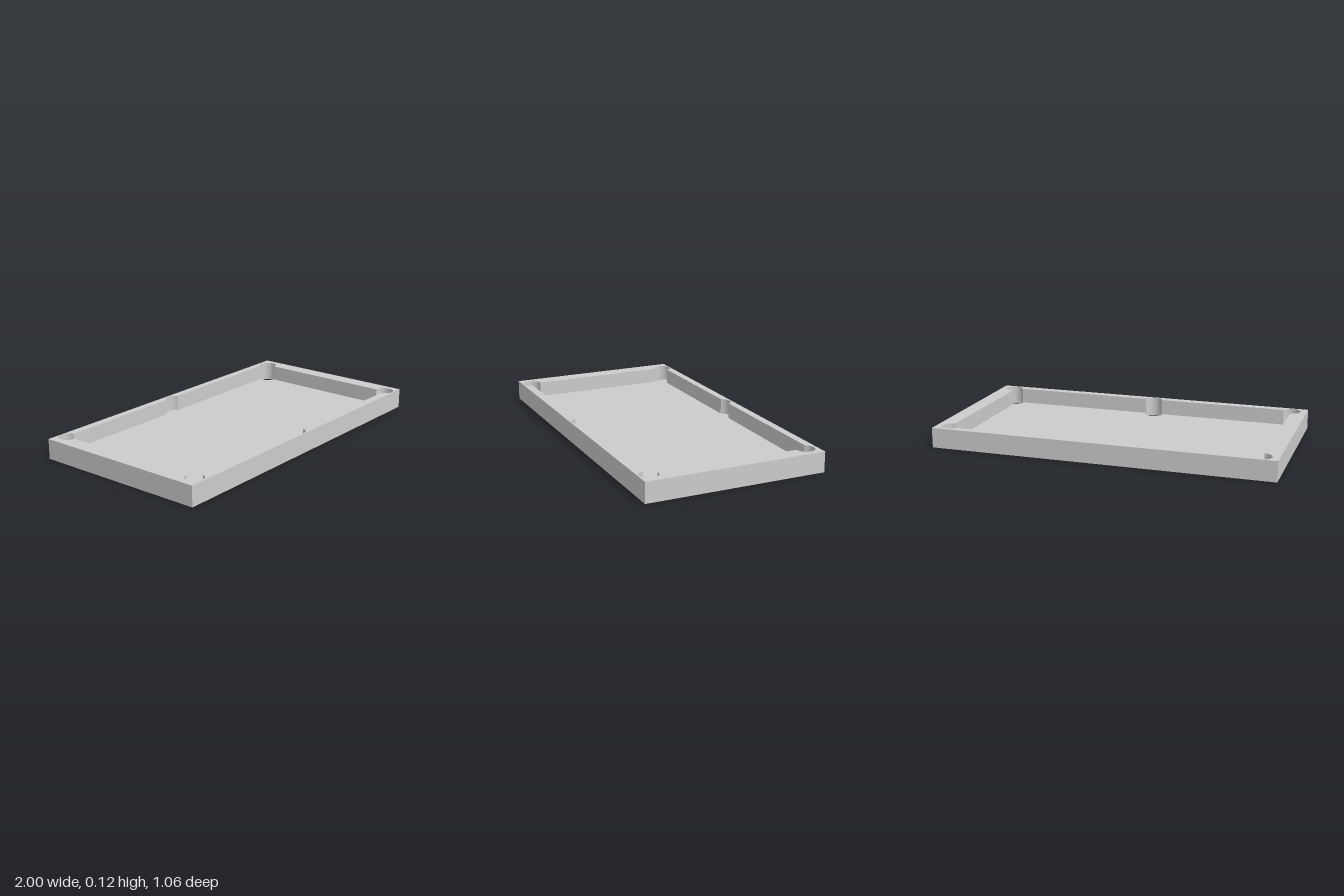
import * as THREE from 'three';
import { toCreasedNormals } from 'three/addons/utils/BufferGeometryUtils.js';

const HEIGHT = 0.117, FLOOR = 0.025, R = 0.053;
const v = (x, z) => new THREE.Vector2(x, -z); // plan coordinates, z towards the front

// Slightly skewed outline; it starts and ends at edge midpoints so that
// the triangulation never begins at an extreme corner
const outline = [
  v(0.0025, 0.5225), v(1, 0.515), v(0.993, -0.53), v(-1, -0.516), v(-0.995, 0.53), v(-0.4963, 0.5263),
];

// Screw holes: anchor on the inner wall line, hole centre, and whether it pierces the floor
const stops = [
  { anchor: v(-0.903, 0.48), center: v(-0.905, 0.466), through: true },
  { anchor: v(-0.035, 0.472), center: v(-0.035, 0.462), through: true },
  { anchor: v(0.903, 0.464), center: v(0.914, 0.456), through: true },
  { anchor: v(0.907, -0.485), center: v(0.908, -0.46), through: true },
  { anchor: v(-0.035, -0.479), center: v(-0.035, -0.459), through: false },
  { anchor: v(-0.908, -0.472), center: v(-0.906, -0.46), through: true, cut: 2.06 },
];

// Angle at which the wall line from a stop towards another leaves the hole
function crossing(stop, target) {
  const d = target.anchor.clone().sub(stop.anchor).normalize();
  const m = stop.anchor.clone().sub(stop.center);
  const b = m.dot(d);
  const t = -b + Math.sqrt(b * b - m.lengthSq() + R * R);
  return m.addScaledVector(d, t).angle();
}

function arc(center, from, to, n = 36) {
  const points = [];
  for (let i = 0; i <= n; i++) {
    const a = from + (to - from) * i / n;
    points.push(new THREE.Vector2(center.x + R * Math.cos(a), center.y + R * Math.sin(a)));
  }
  return points;
}

function slab(name, holes, y, depth, material) {
  const shape = new THREE.Shape(outline);
  shape.holes = holes.map((points) => new THREE.Path(points));
  const geometry = new THREE.ExtrudeGeometry(shape, { depth, bevelEnabled: false });
  geometry.rotateX(-Math.PI / 2).translate(0, y, 0);
  const mesh = new THREE.Mesh(toCreasedNormals(geometry, 0.5), material);
  mesh.name = name;
  return mesh;
}

export function createModel() {
  const group = new THREE.Group();
  group.name = 'tray';
  const material = new THREE.MeshStandardMaterial({ color: 0xcccccc });

  // Floor plate; one hole is only a circle segment
  const floorHoles = stops.filter((s) => s.through).map((s) => s.cut
    ? arc(s.center, s.cut, 2 * Math.PI - s.cut)
    : arc(s.center, 0, 2 * Math.PI).slice(0, -1));
  group.add(slab('floor', floorHoles, 0, FLOOR, material));

  // Rim: the inner wall line bulges outwards around every hole
  const inner = stops.flatMap((s, i) => {
    const from = crossing(s, stops[(i + 5) % 6]);
    let to = crossing(s, stops[(i + 1) % 6]);
    if (to < from) to += 2 * Math.PI;
    return arc(s.center, from, to);
  });
  group.add(slab('rim', [inner], FLOOR, HEIGHT - FLOOR, material));
  return group;
}
